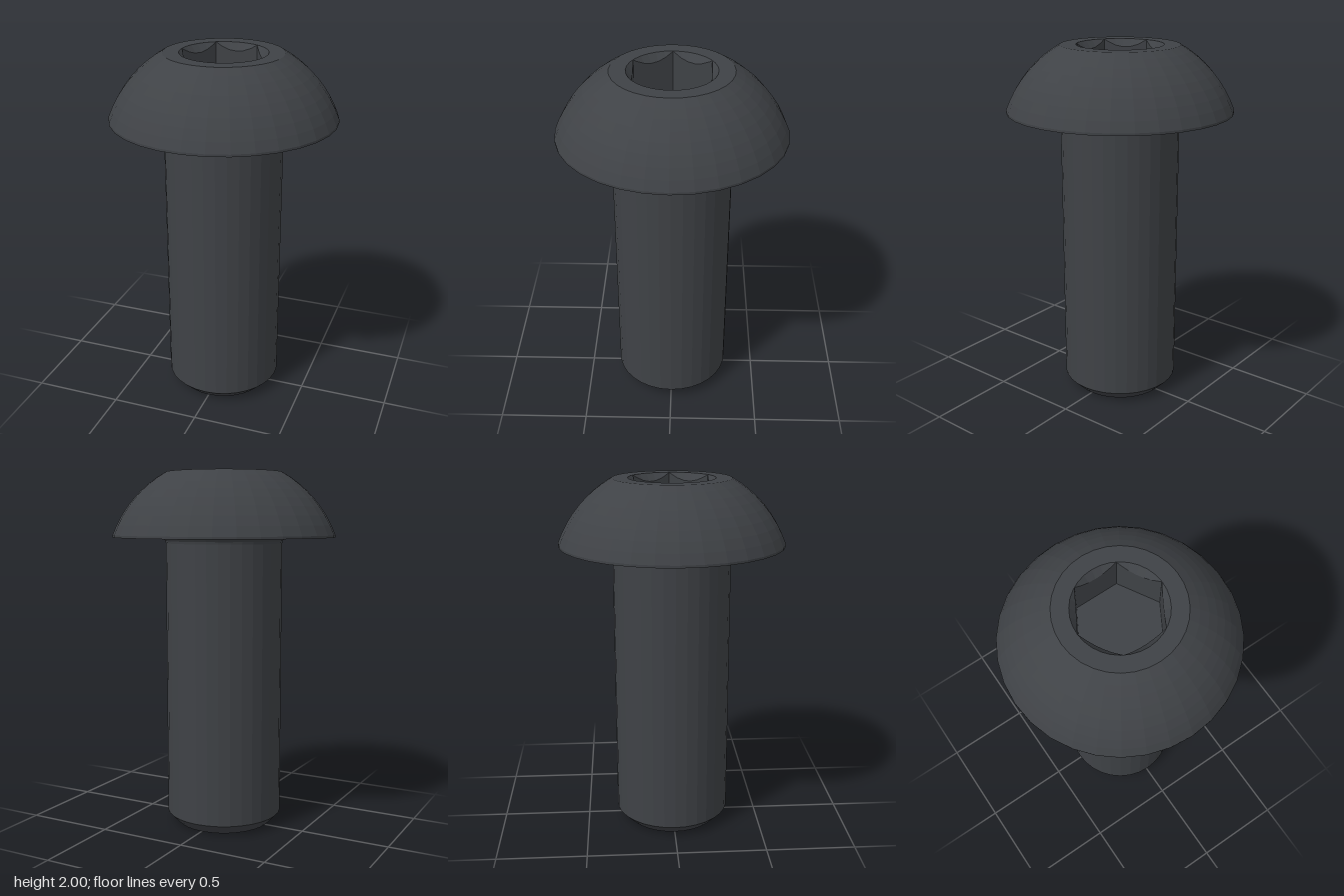
import * as THREE from 'three';

const SIDES = 32;
const TOP = 2, HEAD_BASE = 1.642, SHANK_R = 0.327;
const RIM_R = 0.238, HEX_R = 0.237, FLOOR_Y = 1.775;

// Radius of a regular polygon (corner on +x) in direction a
function polygonRadius(sides, corner, a) {
  const step = (2 * Math.PI) / sides;
  const local = a - step * Math.floor(a / step + 1e-9) - step / 2;
  return (corner * Math.cos(step / 2)) / Math.cos(local);
}

// Points along an arc from angle a0 to a1
function arc(cx, cy, r, a0, a1, n) {
  return Array.from({ length: n + 1 }, (_, i) => {
    const a = a0 + ((a1 - a0) * i) / n;
    return new THREE.Vector2(cx + r * Math.cos(a), cy + r * Math.sin(a));
  });
}

// Hex recess: chamfered mouth that scallops the walls, six flats and a floor
function socketGeometry() {
  const n = 96, positions = [], indices = [];
  for (let row = 0; row < 4; row++) {
    for (let i = 0; i < n; i++) {
      const a = (2 * Math.PI * i) / n;
      const rim = polygonRadius(SIDES, RIM_R, a);
      const hex = polygonRadius(6, HEX_R, a);
      const r = [rim, hex, hex, 0][row];
      const y = [TOP, TOP - 1.3 * (rim - hex), FLOOR_Y, FLOOR_Y][row];
      positions.push(r * Math.cos(a), y, r * Math.sin(a));
    }
  }
  for (let row = 0; row < 3; row++) {
    for (let i = 0; i < n; i++) {
      const a = row * n + i, b = row * n + ((i + 1) % n);
      indices.push(a, a + n, b);
      if (row < 2) indices.push(b, a + n, b + n);
    }
  }
  const geometry = new THREE.BufferGeometry();
  geometry.setAttribute('position', new THREE.Float32BufferAttribute(positions, 3));
  geometry.setIndex(indices);
  geometry.computeVertexNormals();
  return geometry;
}

export function createModel() {
  const group = new THREE.Group();
  const material = new THREE.MeshStandardMaterial({ color: 0x3f4246, flatShading: true });
  const add = (name, geometry) => {
    const mesh = new THREE.Mesh(geometry, material);
    mesh.name = name;
    group.add(mesh);
  };
  const v = (x, y) => new THREE.Vector2(x, y);

  // Shank with chamfered tip and a small fillet under the head
  const f = 0.033;
  add('shank', new THREE.LatheGeometry([
    v(0, 0), v(0.268, 0), v(SHANK_R, 0.06),
    ...arc(SHANK_R + f, HEAD_BASE - f, f, Math.PI, Math.PI / 2, 4),
  ], SIDES));

  // Domed head: flat underside, thin lip, spherical arc, flat ring on top
  const cy = 1.42, r = Math.hypot(0.325, TOP - cy);
  const lipY = cy + Math.sqrt(r * r - 0.622 * 0.622);
  add('head', new THREE.LatheGeometry([
    v(SHANK_R + f, HEAD_BASE), v(0.622, HEAD_BASE),
    ...arc(0, cy, r, Math.atan2(lipY - cy, 0.622), Math.atan2(TOP - cy, 0.325), 8),
    v(RIM_R, TOP),
  ], SIDES));

  add('hexSocket', socketGeometry());
  return group;
}
